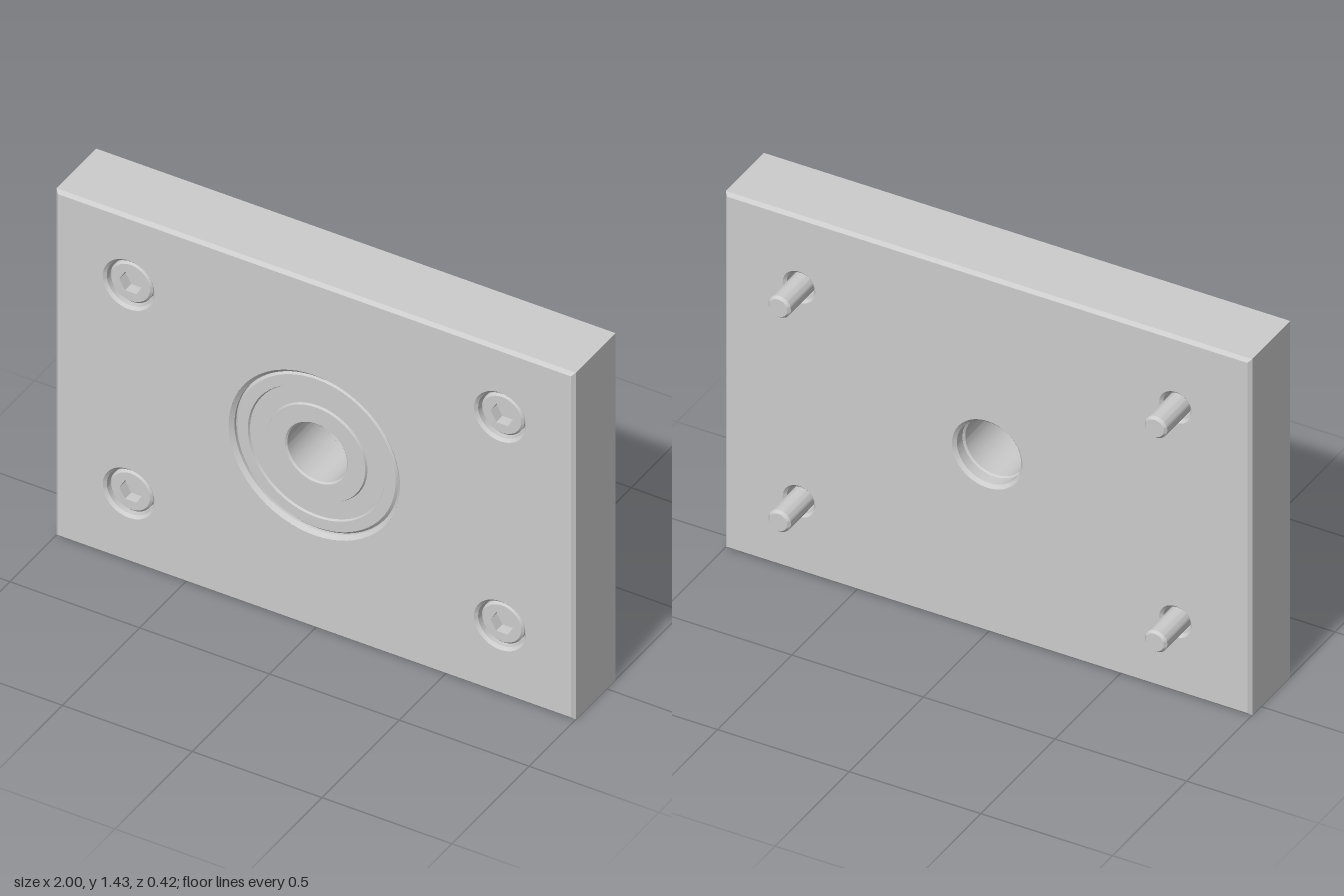
import * as THREE from 'three';
import { toCreasedNormals } from 'three/addons/utils/BufferGeometryUtils.js';

const W = 1, H = 1.43, ZB = -0.07, ZF = 0.21, CH = 0.012;
const CY = 0.717;
const SCREWS = [[-0.715, 0.287], [0.715, 0.287], [-0.715, 1.147], [0.715, 1.147]];
const mat = new THREE.MeshStandardMaterial({ color: 0xcccccc });

function add(parent, name, geo, x = 0, y = 0) {
  const m = new THREE.Mesh(geo, mat);
  m.name = name;
  m.position.set(x, y, 0);
  parent.add(m);
  return m;
}

// Revolve [radius, z] points about the z axis with crisp edges;
// increasing z faces outward, decreasing z faces the axis
function turned(points, segments = 64) {
  const g = new THREE.LatheGeometry(points.map(([r, z]) => new THREE.Vector2(r, z)), segments);
  return toCreasedNormals(g.rotateX(Math.PI / 2), 0.5);
}

function circlePath(x, y, r) {
  return new THREE.Path().absarc(x, y, r, 0, Math.PI * 2, true);
}

// Flat plate face with one centre hole and four screw holes
function plateFace(centreRadius, screwRadius) {
  const s = new THREE.Shape([
    new THREE.Vector2(-W + CH, CH), new THREE.Vector2(W - CH, CH),
    new THREE.Vector2(W - CH, H - CH), new THREE.Vector2(-W + CH, H - CH)]);
  s.holes.push(circlePath(0, CY, centreRadius));
  SCREWS.forEach(([x, y]) => s.holes.push(circlePath(x, y, screwRadius)));
  return new THREE.ShapeGeometry(s, 32);
}

// Chamfered outer walls, skinned through four rectangular sections
function plateWalls() {
  const sections = [[ZB, CH], [ZB + CH, 0], [ZF - CH, 0], [ZF, CH]];
  const pos = [], idx = [];
  for (const [z, c] of sections) {
    pos.push(-W + c, c, z, W - c, c, z, W - c, H - c, z, -W + c, H - c, z);
  }
  for (let s = 0; s < 3; s++) {
    for (let i = 0; i < 4; i++) {
      const a = s * 4 + i, b = s * 4 + (i + 1) % 4;
      idx.push(a, b, b + 4, a, b + 4, a + 4);
    }
  }
  const g = new THREE.BufferGeometry();
  g.setAttribute('position', new THREE.Float32BufferAttribute(pos, 3));
  g.setIndex(idx);
  return toCreasedNormals(g, 0.3);
}

function makePlate() {
  const plate = new THREE.Group();
  plate.name = 'plate';
  add(plate, 'plateWalls', plateWalls());
  add(plate, 'frontFace', plateFace(0.33, 0.1).translate(0, 0, ZF));
  const back = plateFace(0.134, 0.062).rotateY(Math.PI).translate(0, 0, ZB);
  add(plate, 'backFace', back);
  // Bearing seat and rear opening
  add(plate, 'bearingSeat', turned([
    [0.33, ZF], [0.316, ZF - 0.014], [0.316, -0.02], [0.122, -0.02],
    [0.122, ZB + 0.012], [0.134, ZB]], 96), 0, CY);
  // Counterbored screw holes
  const bore = turned([
    [0.1, ZF], [0.09, ZF - 0.01], [0.09, 0.11], [0.052, 0.11],
    [0.052, ZB + 0.01], [0.062, ZB]]);
  SCREWS.forEach(([x, y]) => add(plate, 'screwHole', bore, x, y));
  return plate;
}

// Shielded ball bearing with slightly sunken shields
function makeBearing() {
  const f = 0.197, b = -0.02, d = 0.008;
  const g = turned([
    [0.115, f - 0.006], [0.115, b + 0.006], [0.121, b],
    [0.19, b], [0.19, b + d], [0.26, b + d], [0.26, b], [0.305, b],
    [0.315, b + 0.01], [0.315, f - 0.01], [0.305, f],
    [0.264, f], [0.26, f - d], [0.192, f - d], [0.188, f],
    [0.121, f], [0.115, f - 0.006]], 96);
  const m = new THREE.Mesh(g, mat);
  m.name = 'bearing';
  m.position.y = CY;
  return m;
}

// Socket head cap screw
function makeScrew() {
  const screw = new THREE.Group();
  screw.name = 'screw';
  const top = 0.197, hex = 0.044, depth = 0.04;
  add(screw, 'screwBody', turned([
    [0, -0.21], [0.034, -0.21], [0.0425, -0.2], [0.0425, 0.11],
    [0.082, 0.11], [0.082, top - 0.008], [0.074, top]]));
  // Annular head face around the hexagonal socket
  const face = new THREE.Shape().absarc(0, 0, 0.074, 0, Math.PI * 2, false);
  const corners = Array.from({ length: 6 }, (_, i) =>
    new THREE.Vector2(hex * Math.cos(i * Math.PI / 3), hex * Math.sin(i * Math.PI / 3)));
  face.holes.push(new THREE.Path(corners));
  add(screw, 'headFace', new THREE.ShapeGeometry(face, 32).translate(0, 0, top));
  // Socket walls and floor, first corner aligned with +x
  const socket = turned([[hex, top], [hex, top - depth], [0, top - depth]], 6);
  add(screw, 'hexSocket', socket.rotateZ(Math.PI / 2));
  return screw;
}

export function createModel() {
  const model = new THREE.Group();
  model.name = 'bearingPlate';
  model.add(makePlate(), makeBearing());
  const screw = makeScrew();
  SCREWS.forEach(([x, y]) => {
    const s = screw.clone();
    s.position.set(x, y, 0);
    model.add(s);
  });
  return model;
}
